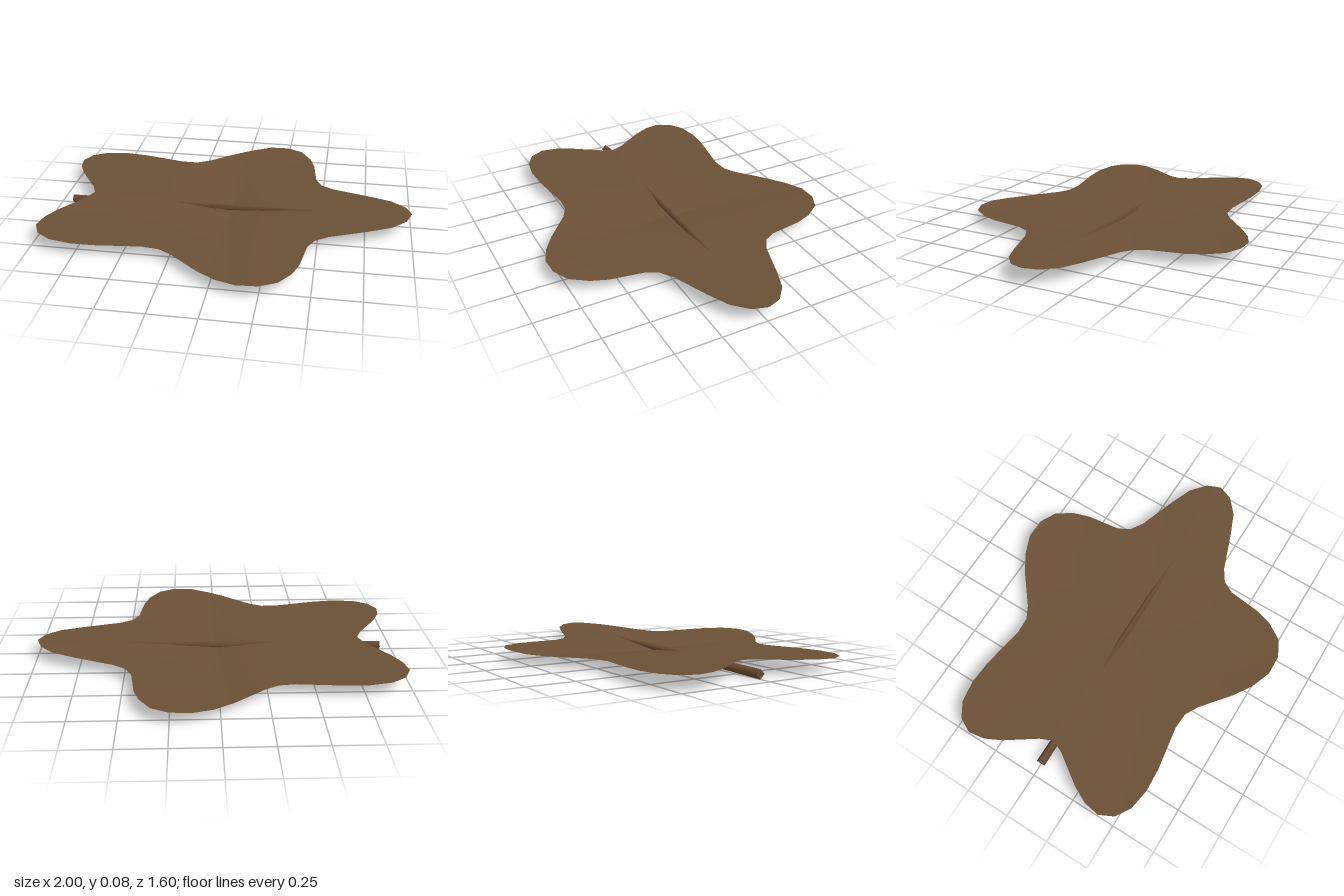
import * as THREE from 'three';

// Half of the lobed outline as [x, z], from the notch at the stem to the tip
const HALF = [
  [-0.8, 0], [-0.83, 0.07], [-0.94, 0.23], [-0.985, 0.32], [-1, 0.41], [-0.96, 0.49], [-0.88, 0.54],
  [-0.76, 0.56], [-0.63, 0.553], [-0.5, 0.533], [-0.39, 0.516], [-0.3, 0.522], [-0.23, 0.56],
  [-0.07, 0.69], [0.03, 0.755], [0.14, 0.798], [0.25, 0.795], [0.34, 0.75], [0.4, 0.66],
  [0.43, 0.57], [0.455, 0.385], [0.49, 0.32], [0.56, 0.275], [0.65, 0.243], [0.77, 0.2],
  [0.89, 0.15], [0.97, 0.08], [1, 0],
];

// Shallow dish: steep beside the middle, then rising gently to the lobe tips
function bladeHeight(x, z) {
  const across = Math.abs(z) / 0.8;
  return 0.025 + 0.06 * Math.abs(x) ** 0.65 * (1 - 0.6 * across) + 0.034 * across ** 2;
}

// Rings scaled from the outline towards the centre
function bladeGeometry() {
  const mirrored = HALF.slice(1, -1).reverse().map(([x, z]) => [x, -z]);
  const outline = [...HALF, ...mirrored];
  const n = outline.length;
  const rings = 12;
  const positions = [0, bladeHeight(0, 0), 0];
  const index = [];
  for (let r = 1; r <= rings; r++) {
    const t = r / rings;
    for (const [x, z] of outline) positions.push(x * t, bladeHeight(x * t, z * t), z * t);
  }
  for (let i = 0; i < n; i++) {
    const j = (i + 1) % n;
    index.push(0, 1 + i, 1 + j);
    for (let r = 0; r < rings - 1; r++) {
      const a = 1 + r * n;
      const b = a + n;
      index.push(a + i, b + i, b + j, a + i, b + j, a + j);
    }
  }
  const geometry = new THREE.BufferGeometry();
  geometry.setAttribute('position', new THREE.Float32BufferAttribute(positions, 3));
  geometry.setIndex(index);
  geometry.computeVertexNormals();
  return geometry;
}

export function createModel() {
  const leafBrown = new THREE.MeshStandardMaterial({ color: 0x6b5136, side: THREE.DoubleSide });
  leafBrown.name = 'leafBrown';
  const stemBrown = new THREE.MeshStandardMaterial({ color: 0x6b4c32 });
  stemBrown.name = 'stemBrown';

  const leaf = new THREE.Group();
  leaf.name = 'leaf';

  const blade = new THREE.Mesh(bladeGeometry(), leafBrown);
  blade.name = 'blade';
  leaf.add(blade);

  // Tapered four-sided stem running along the middle of the blade
  const start = new THREE.Vector3(-0.93, 0.0255, 0);
  const end = new THREE.Vector3(0.76, 0.055, 0);
  const along = end.clone().sub(start);
  const stem = new THREE.Mesh(new THREE.CylinderGeometry(0.011, 0.025, along.length(), 4), stemBrown);
  stem.name = 'stem';
  stem.position.copy(start).add(end).multiplyScalar(0.5);
  stem.rotation.z = Math.atan2(along.y, along.x) - Math.PI / 2;
  leaf.add(stem);

  return leaf;
}
